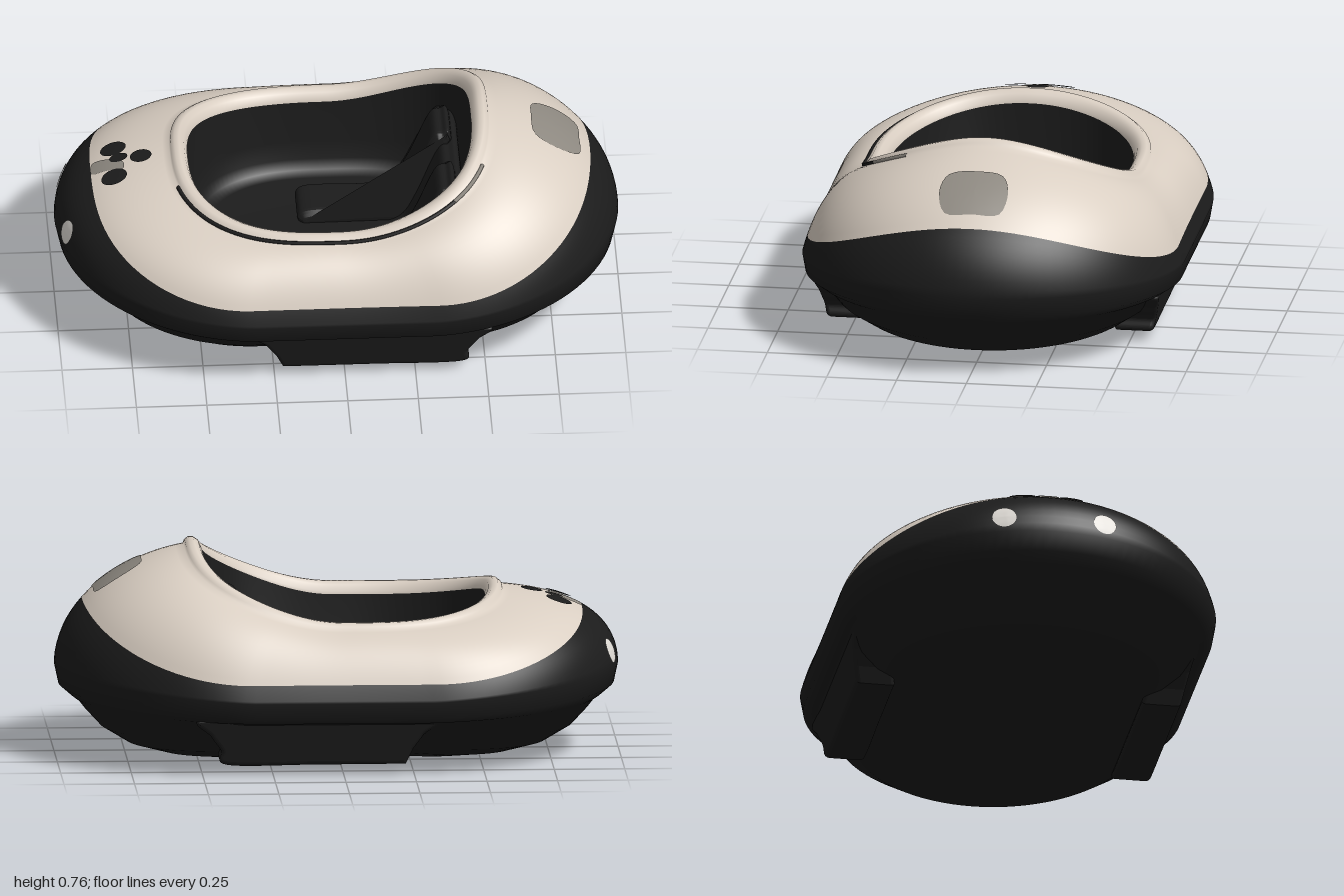
import * as THREE from 'three';

const mat = (name, color, extra = {}) => new THREE.MeshStandardMaterial({ name, color, ...extra });
const lerp = THREE.MathUtils.lerp;
const SEG = 144;

// Plan outline of the bumper: straight sides with elliptical ends
function outline(t) {
  const c = Math.abs(Math.cos(t)), s = Math.abs(Math.sin(t));
  const h = 0.33, a = 0.67, b = 0.68;
  let r = b / Math.max(s, 1e-6);
  if (r * c > h) {
    const A = (c / a) ** 2 + (s / b) ** 2, B = -2 * h * c / (a * a), C = (h / a) ** 2 - 1;
    r = (-B + Math.sqrt(B * B - 4 * A * C)) / (2 * A);
  }
  return [r * Math.cos(t), r * Math.sin(t)];
}

// How far a point lies into the rounded ends, 0 on the sides and 1 at the tips
const endness = (t) => Math.max(0, (Math.abs(outline(t)[0]) - 0.33) / 0.67);

// Cockpit opening, inset by d
function opening(t, d = 0) {
  const c = Math.cos(t), s = Math.sin(t), n = c > 0 ? 3 : 2.6;
  const r = (Math.abs(c / (0.565 - d)) ** n + Math.abs(s / (0.495 - d)) ** n) ** (-1 / n);
  return [r * c - 0.025, r * s];
}

// Height of the opening: dips at the sides, rises to the high back
function openingY(t) {
  const c = Math.cos(t);
  return 0.503 + (c > 0 ? 0.232 * c ** 2.3 : 0.075 * c ** 4);
}

const bumperY = (t) => 0.27 + 0.045 * endness(t);
const seamY = (t) => 0.333 + (Math.cos(t) > 0 ? 0.21 : 0.175) * endness(t) ** 2;

// Body section from the bumper (u = 0) to the opening (u = 1)
function bodyPoint(t, u) {
  const o = outline(t), r = opening(t), c = Math.cos(t);
  const y0 = bumperY(t), y3 = openingY(t);
  const y1 = lerp(y0, y3, 0.5 + 0.2 * Math.max(0, -c) ** 2);
  const y2 = y3 - 0.025 - 0.03 * Math.max(0, c) ** 6;
  const k = [(1 - u) ** 3, 3 * u * (1 - u) ** 2, 3 * u * u * (1 - u), u ** 3];
  const waist = lerp(0.945, 0.99, endness(t));
  const along = (i) => k[0] * o[i] + k[1] * o[i] * waist + k[2] * lerp(o[i], r[i], 0.46) + k[3] * r[i];
  return [along(0), k[0] * y0 + k[1] * y1 + k[2] * y2 + k[3] * y3, along(1)];
}

// Place on the section where the two body colours meet
function seamU(t) {
  let lo = 0, hi = 1;
  for (let i = 0; i < 24; i++) {
    const m = (lo + hi) / 2;
    if (bodyPoint(t, m)[1] < seamY(t)) lo = m; else hi = m;
  }
  return lo;
}

// Mesh from rows of n points each, closed round every row
function skin(name, pos, n, material) {
  const idx = [], rows = pos.length / 3 / n;
  for (let j = 0; j < rows - 1; j++)
    for (let i = 0; i < n; i++) {
      const k = (i + 1) % n, a = j * n + i, b = j * n + k;
      idx.push(a, a + n, b, b, a + n, b + n);
    }
  const g = new THREE.BufferGeometry();
  g.setAttribute('position', new THREE.Float32BufferAttribute(pos, 3));
  g.setIndex(idx);
  g.computeVertexNormals();
  const mesh = new THREE.Mesh(g, material);
  mesh.name = name;
  return mesh;
}

// Smooth skin through closed rings, each a function of the angle
function loft(name, rings, material) {
  const pos = [];
  for (const ring of rings)
    for (let i = 0; i < SEG; i++) pos.push(...ring((i / SEG) * Math.PI * 2));
  return skin(name, pos, SEG, material);
}

// Thin painted shape laid on a surface; corners are [a, b] pairs placed by toRay
function decal(name, corners, target, toRay, material, lift = 0.004) {
  const curve = new THREE.CatmullRomCurve3(corners.map(([a, b]) => new THREE.Vector3(a, b, 0)), true);
  const edge = curve.getPoints(32).slice(0, 32);
  const mid = edge.reduce((m, p) => m.add(p), new THREE.Vector3()).divideScalar(edge.length);
  const caster = new THREE.Raycaster(), pos = [], R = 5;
  for (let j = 0; j <= R; j++)
    for (const e of edge) {
      const p = mid.clone().lerp(e, j / R);
      const [from, dir] = toRay(p.x, p.y);
      caster.set(from, dir);
      const hit = caster.intersectObject(target)[0];
      pos.push(...hit.point.addScaledVector(hit.face.normal, lift).toArray());
    }
  return skin(name, pos, edge.length, material);
}

const oval = (a, b, ra, rb) => Array.from({ length: 10 }, (_, i) => {
  const t = (i / 10) * Math.PI * 2;
  return [a + ra * Math.cos(t), b + rb * Math.sin(t)];
});

// Side profile smoothed and extruded across z, with rounded edges
function slab(name, points, z0, z1, bevel, material) {
  const [first, ...rest] = points.map((p) => new THREE.Vector2(...p));
  const shape = new THREE.Shape().moveTo(first.x, first.y).splineThru(rest);
  const g = new THREE.ExtrudeGeometry(shape, {
    depth: z1 - z0 - 2 * bevel, bevelThickness: bevel, bevelSize: bevel, bevelOffset: -bevel, bevelSegments: 4, curveSegments: 24,
  });
  g.translate(0, 0, z0 + bevel);
  const mesh = new THREE.Mesh(g, material);
  mesh.name = name;
  return mesh;
}

// Thin strip following the outer foot of the cockpit lip between two angles
function lipStrip(name, t0, t1, material) {
  const pts = Array.from({ length: 30 }, (_, i) => {
    const t = lerp(t0, t1, i / 29), [x, z] = opening(t, -0.003);
    return new THREE.Vector3(x, openingY(t) + 0.003, z);
  });
  const mesh = new THREE.Mesh(new THREE.TubeGeometry(new THREE.CatmullRomCurve3(pts), 60, 0.007, 6), material);
  mesh.name = name;
  return mesh;
}

export function createModel() {
  const model = new THREE.Group();
  model.name = 'bumperCar';
  const black = mat('black', 0x1c1c1c);
  const cream = mat('cream', 0xd9cec2);
  const grey = mat('grey', 0x8e8981, { side: THREE.DoubleSide });
  const paint = mat('blackPaint', 0x1c1c1c, { side: THREE.DoubleSide });
  const lamp = mat('lampWhite', 0xe2ded8, { side: THREE.DoubleSide });

  // Hull and bumper, from the middle of the underside up to the colour seam:
  // scale of the outline, height, and lift along the straight sides
  const hull = [[0, 0, 0], [0.3, 0, 0.012], [0.5, 0, 0.033], [0.64, 0.015, 0.04], [0.75, 0.045, 0.04], [0.84, 0.1, 0.03],
    [0.895, 0.16, 0.02], [0.92, 0.192, 0], [0.945, 0.21, -0.018], [0.985, 0.245, -0.035]].map(([s, y, lift]) => (t) => {
    const [x, z] = outline(t);
    return [x * s, y + lift * (1 - endness(t)), z * s];
  });
  for (let i = 0; i <= 8; i++) hull.push((t) => bodyPoint(t, seamU(t) * i / 8));
  const lower = loft('hullAndBumper', hull, black);

  // Upper body and the rolled lip round the cockpit
  const upperRings = [];
  for (let i = 0; i <= 14; i++) upperRings.push((t) => bodyPoint(t, lerp(seamU(t), 1, i / 14)));
  const lipRing = (d, dy) => (t) => {
    const [x, z] = opening(t, d);
    return [x, openingY(t) + dy, z];
  };
  for (const [d, dy] of [[0.004, 0.012], [0.018, 0.023], [0.035, 0.023], [0.052, 0.012], [0.062, -0.01], [0.064, -0.02]])
    upperRings.push(lipRing(d, dy));
  const upper = loft('upperBody', upperRings, cream);
  model.add(lower, upper);

  // Dark seam under the lip on one side, with a grey end
  model.add(lipStrip('lipSeam', 0.78, Math.PI - 0.35, paint), lipStrip('lipSeamEnd', 0.5, 0.78, grey));

  // Cockpit tub
  const tubRings = [lipRing(0.064, -0.02)];
  for (const [s, y] of [[0.99, 0.32], [0.97, 0.25], [0.93, 0.215], [0.86, 0.2], [0, 0.2]])
    tubRings.push((t) => {
      const [x, z] = opening(t, 0.064);
      return [x * s, y, z * s];
    });
  model.add(loft('cockpitTub', tubRings, black));

  // Sloped bench back with two padded seats
  model.add(slab('benchBack', [[0.17, 0.19], [0.24, 0.23], [0.29, 0.32], [0.36, 0.49], [0.4, 0.52], [0.44, 0.49], [0.46, 0.19]], -0.4, 0.4, 0.015, black));
  for (const z of [-0.185, 0.17])
    model.add(slab('seat', [[-0.12, 0.18], [-0.13, 0.22], [-0.08, 0.245], [0.12, 0.245], [0.21, 0.275], [0.27, 0.37],
      [0.34, 0.53], [0.38, 0.555], [0.415, 0.53], [0.44, 0.19]], z - 0.1, z + 0.1, 0.03, black));

  // Side skids, leaning outward towards the top
  for (const s of [-1, 1]) {
    const skid = slab('sideSkid', [[-0.22, 0.036], [0.1, 0.035], [0.41, 0.036], [0.435, 0.09], [0.47, 0.14], [0.5, 0.205],
      [0.1, 0.21], [-0.32, 0.205], [-0.28, 0.14], [-0.245, 0.09]], -0.07, 0.07, 0.015, black);
    const p = skid.geometry.attributes.position;
    for (let i = 0; i < p.count; i++) p.setZ(i, p.getZ(i) + s * (0.512 + 0.22 * (p.getY(i) - 0.035)));
    skid.geometry.computeVertexNormals();
    model.add(skid);
  }

  // Painted patch on the tail and paw print on the nose
  const down = (x, z) => [new THREE.Vector3(x, 2, z), new THREE.Vector3(0, -1, 0)];
  const fromFront = (z, y) => [new THREE.Vector3(-2, y, z), new THREE.Vector3(1, 0, 0)];
  model.add(decal('tailPatch', [[0.69, 0], [0.7, -0.085], [0.77, -0.115], [0.85, -0.095], [0.86, 0], [0.852, 0.1],
    [0.77, 0.13], [0.7, 0.105]], upper, down, grey));
  model.add(decal('pawPad', [[-0.865, 0.03], [-0.81, 0.04], [-0.76, 0.055], [-0.755, 0.015], [-0.79, -0.02], [-0.86, -0.035]],
    upper, down, grey));
  for (const [x, z, rx, rz] of [[-0.785, -0.085, 0.045, 0.045], [-0.692, 0, 0.038, 0.038], [-0.79, 0.088, 0.045, 0.042], [-0.77, -0.018, 0.032, 0.026]])
    model.add(decal('pawToe', oval(x, z, rx, rz), upper, down, paint, 0.006));

  // Headlights
  for (const s of [-1, 1])
    model.add(decal('headlight', oval(s * 0.18, 0.372, 0.042, 0.042), lower, fromFront, lamp));

  return model;
}
